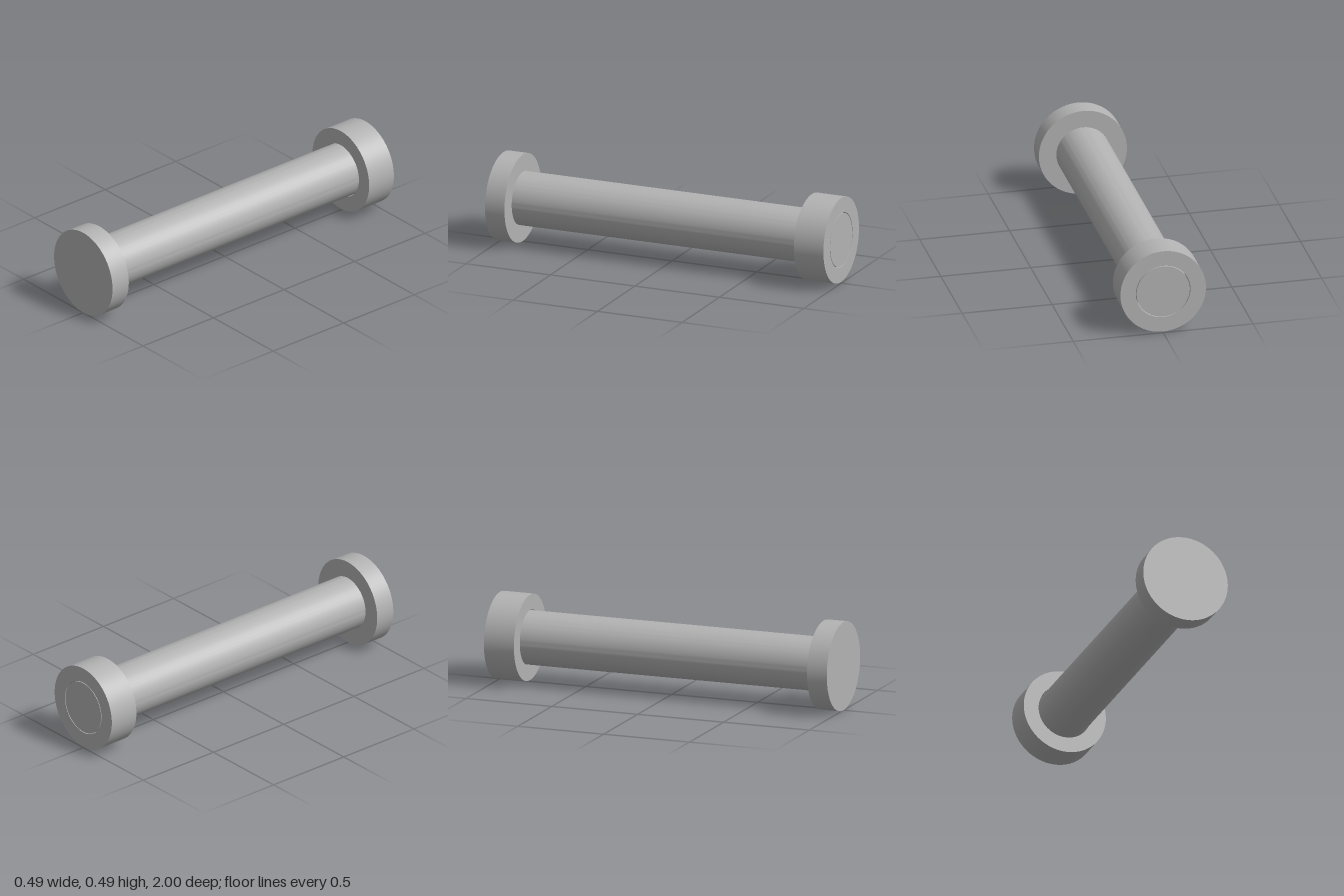
import * as THREE from 'three';
import { toCreasedNormals } from 'three/addons/utils/BufferGeometryUtils.js';

const AXIS_HEIGHT = 0.245;

// Turned part: [radius, z] profile spun around the z axis, with sharp rims
function turned(name, profile, material) {
  const points = profile.map(([r, z]) => new THREE.Vector2(r, z));
  const geometry = new THREE.LatheGeometry(points, 96);
  geometry.rotateX(Math.PI / 2);
  const mesh = new THREE.Mesh(toCreasedNormals(geometry, 0.6), material);
  mesh.name = name;
  mesh.position.y = AXIS_HEIGHT;
  return mesh;
}

export function createModel() {
  const group = new THREE.Group();
  group.name = 'clevisPin';
  const steel = new THREE.MeshStandardMaterial({ color: 0xb3b3b3 });
  steel.name = 'grey steel';

  // Shaft and wide flat head in one piece
  group.add(turned('headedShaft', [
    [0, -1], [0.148, -1], [0.148, 0.885], [0.245, 0.885], [0.245, 1], [0, 1],
  ], steel));

  // Loose collar around the rear end, flush with the shaft tip
  group.add(turned('collar', [
    [0.152, -1], [0.238, -1], [0.238, -0.825], [0.152, -0.825], [0.152, -1],
  ], steel));

  return group;
}
